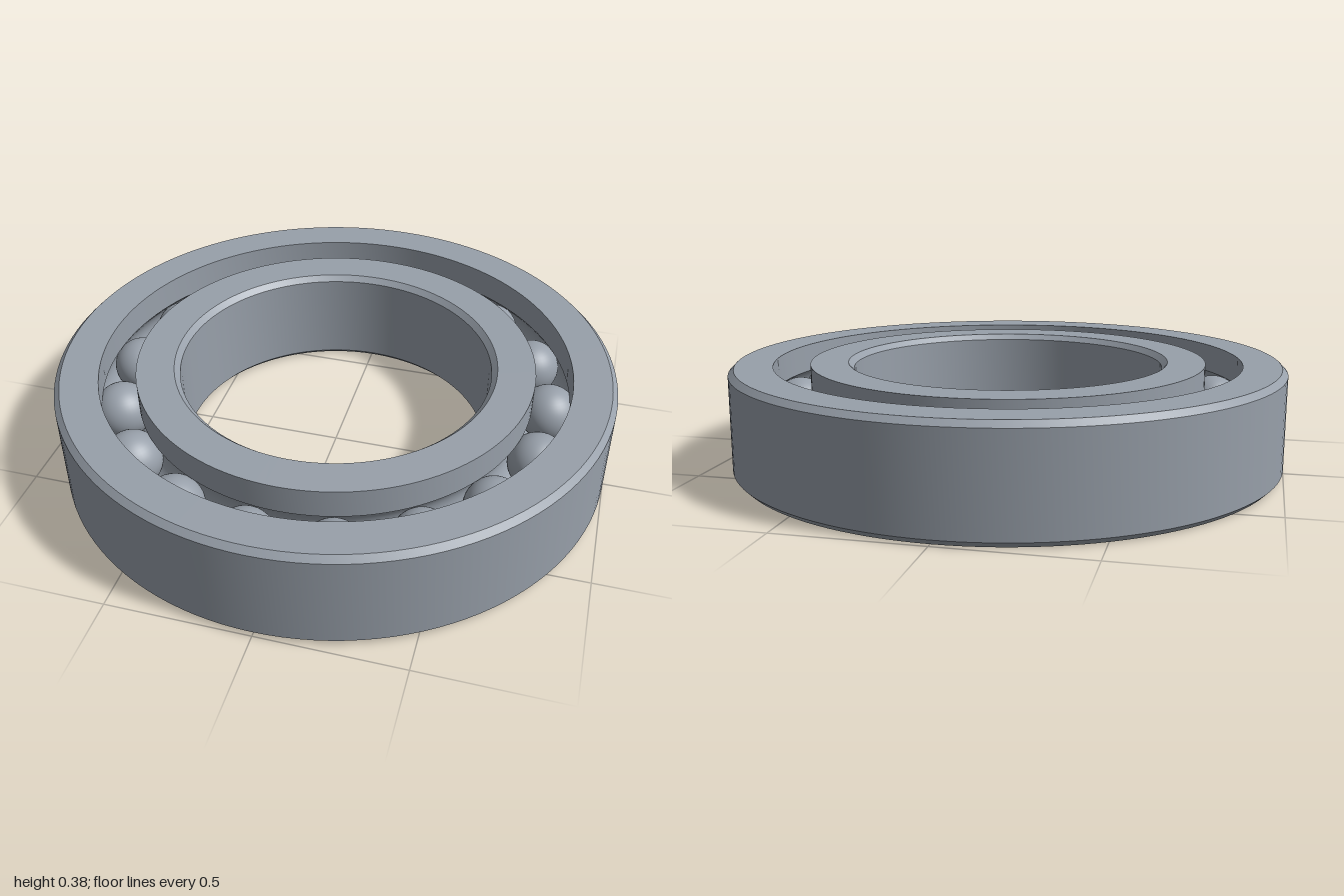
import * as THREE from 'three';
import { toCreasedNormals } from 'three/addons/utils/BufferGeometryUtils.js';

const HEIGHT = 0.375, MID = HEIGHT / 2, CHAMFER = 0.02;
const OUTER = 1, OUTER_SHOULDER = 0.845, INNER_SHOULDER = 0.715, BORE = 0.56;
const PITCH = (OUTER_SHOULDER + INNER_SHOULDER) / 2;
const BALLS = 17, BALL_RADIUS = 0.104, GROOVE_RADIUS = 0.106;
const FIRST_BALL = THREE.MathUtils.degToRad(11.95);

// Ball groove arc, from bottom to top; side is +1 in the outer ring, -1 in the inner
function groove(side) {
  const half = Math.acos((OUTER_SHOULDER - PITCH) / GROOVE_RADIUS);
  const points = [];
  for (let i = 0; i <= 12; i++) {
    const a = -half + (2 * half * i) / 12;
    points.push([PITCH + side * GROOVE_RADIUS * Math.cos(a), MID + GROOVE_RADIUS * Math.sin(a)]);
  }
  return points;
}

// Closed counterclockwise cross-section turned about y, with sharp edges kept
function ring(name, profile, material) {
  const points = [...profile, profile[0]].map(([r, y]) => new THREE.Vector2(r, y));
  const geometry = toCreasedNormals(new THREE.LatheGeometry(points, 128), 0.5);
  const mesh = new THREE.Mesh(geometry, material);
  mesh.name = name;
  return mesh;
}

export function createModel() {
  const model = new THREE.Group();
  model.name = 'ballBearing';
  const steel = new THREE.MeshStandardMaterial({ color: 0x98a0aa });
  steel.name = 'steel';

  // Outer ring: chamfered outside, grooved inside
  model.add(ring('outerRing', [
    [OUTER_SHOULDER, 0],
    [OUTER - CHAMFER, 0],
    [OUTER, CHAMFER],
    [OUTER, HEIGHT - CHAMFER],
    [OUTER - CHAMFER, HEIGHT],
    [OUTER_SHOULDER, HEIGHT],
    ...groove(1).reverse(),
  ], steel));

  // Inner ring: grooved outside, chamfered bore
  model.add(ring('innerRing', [
    [BORE + CHAMFER, 0],
    [INNER_SHOULDER, 0],
    ...groove(-1),
    [INNER_SHOULDER, HEIGHT],
    [BORE + CHAMFER, HEIGHT],
    [BORE, HEIGHT - CHAMFER],
    [BORE, CHAMFER],
  ], steel));

  // Balls spaced evenly along the grooves
  const balls = new THREE.Group();
  balls.name = 'balls';
  const ballGeometry = new THREE.SphereGeometry(BALL_RADIUS, 40, 24);
  for (let i = 0; i < BALLS; i++) {
    const a = FIRST_BALL + (i * Math.PI * 2) / BALLS;
    const ball = new THREE.Mesh(ballGeometry, steel);
    ball.name = 'ball';
    ball.position.set(PITCH * Math.cos(a), MID, PITCH * Math.sin(a));
    balls.add(ball);
  }
  model.add(balls);
  return model;
}
